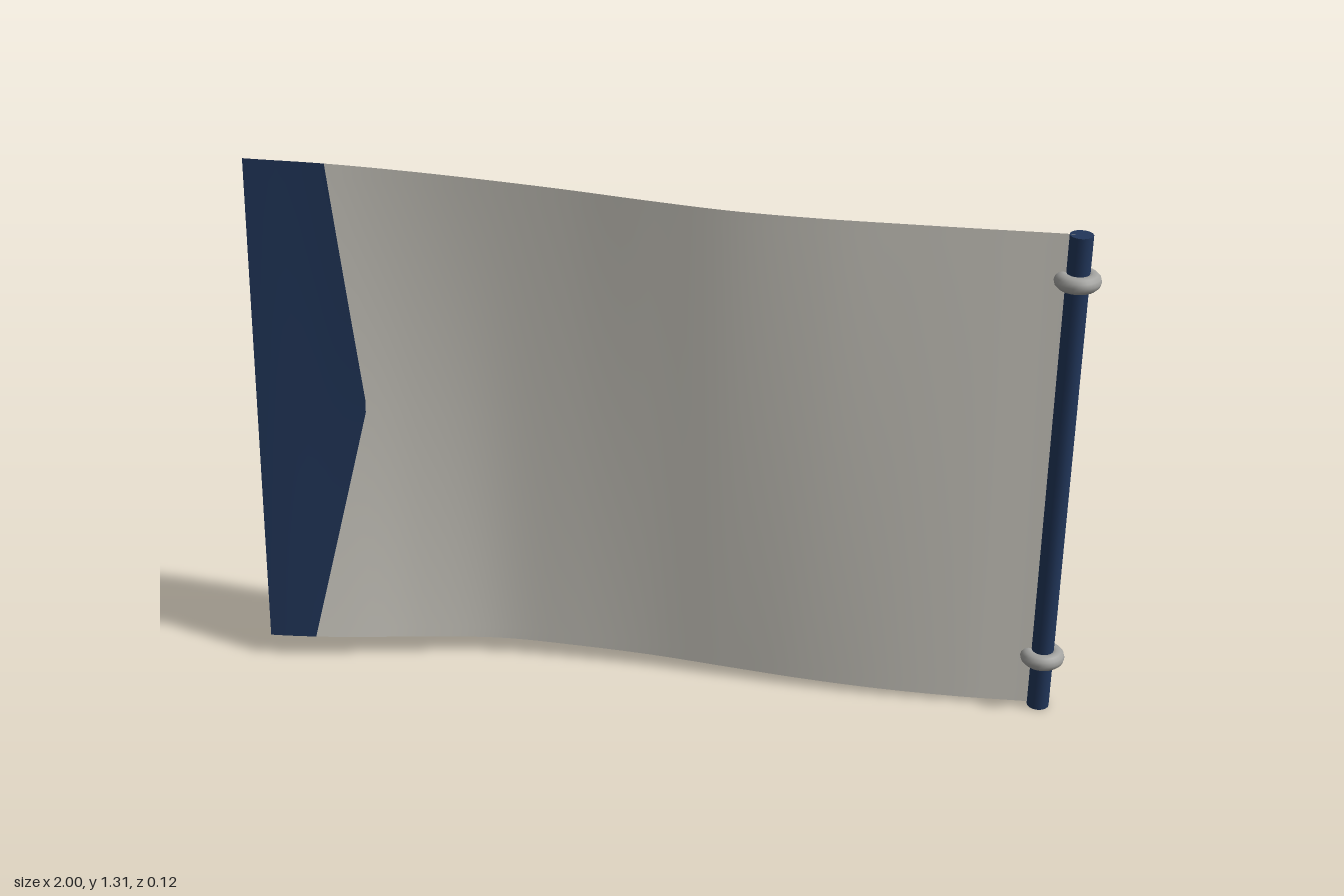
import * as THREE from 'three';

const POLE_X = 0.945;
const POLE_H = 1.255;

// Depth of the cloth edges, sampled evenly from the free end to the pole
const edge = (zs) => new THREE.SplineCurve(zs.map((z, i) => new THREE.Vector2(i, z)));
const topEdge = edge([-0.057, -0.064, -0.058, -0.043, -0.022, 0.005, 0.026, 0.029, 0.021, 0.011, 0]);
const bottomEdge = edge([0.055, 0.03, -0.01, -0.04, -0.041, -0.033, -0.014, 0.004, 0.013, 0.011, 0]);

// Pointed border between the end band and the field; v runs from bottom to top
function borderX(v) {
  return v < 0.51
    ? THREE.MathUtils.lerp(-0.885, -0.73, v / 0.51)
    : THREE.MathUtils.lerp(-0.73, -0.805, (v - 0.51) / 0.49);
}

// Waving patch of cloth between two x limits that depend on v
function clothPatch(name, fromX, toX, columns, material) {
  const geo = new THREE.PlaneGeometry(1, 1, columns, 40);
  const pos = geo.attributes.position;
  for (let i = 0; i < pos.count; i++) {
    const v = pos.getY(i) + 0.5;
    const x = THREE.MathUtils.lerp(fromX(v), toX(v), pos.getX(i) + 0.5);
    const t = THREE.MathUtils.clamp((x + 1) / (POLE_X + 1), 0, 1);
    const y = 0.005 + 0.055 * (1 - t) + v * 1.25;
    const z = THREE.MathUtils.lerp(bottomEdge.getPoint(t).y, topEdge.getPoint(t).y, v);
    pos.setXYZ(i, x, y, z);
  }
  geo.computeVertexNormals();
  const mesh = new THREE.Mesh(geo, material);
  mesh.name = name;
  return mesh;
}

export function createModel() {
  const group = new THREE.Group();
  group.name = 'flag';

  const clothGrey = new THREE.MeshStandardMaterial({ color: 0xd6d3ca, side: THREE.DoubleSide });
  clothGrey.name = 'pale cloth';
  const clothNavy = new THREE.MeshStandardMaterial({ color: 0x21365a, side: THREE.DoubleSide });
  clothNavy.name = 'navy';
  const ringGrey = new THREE.MeshStandardMaterial({ color: 0xa3a3a0 });
  ringGrey.name = 'ring grey';

  // Cloth
  group.add(clothPatch('endBand', () => -1, borderX, 10, clothNavy));
  group.add(clothPatch('field', borderX, () => POLE_X, 60, clothGrey));

  // Pole
  const pole = new THREE.Mesh(new THREE.CylinderGeometry(0.027, 0.027, POLE_H, 16), clothNavy);
  pole.name = 'pole';
  pole.position.set(POLE_X, POLE_H / 2, 0);
  group.add(pole);

  // Rings around the pole
  for (const [name, y] of [['lowerRing', 0.143], ['upperRing', 1.145]]) {
    const ring = new THREE.Mesh(new THREE.TorusGeometry(0.034, 0.02, 12, 32), ringGrey);
    ring.name = name;
    ring.rotation.x = Math.PI / 2;
    ring.position.set(POLE_X, y, 0);
    group.add(ring);
  }

  return group;
}
